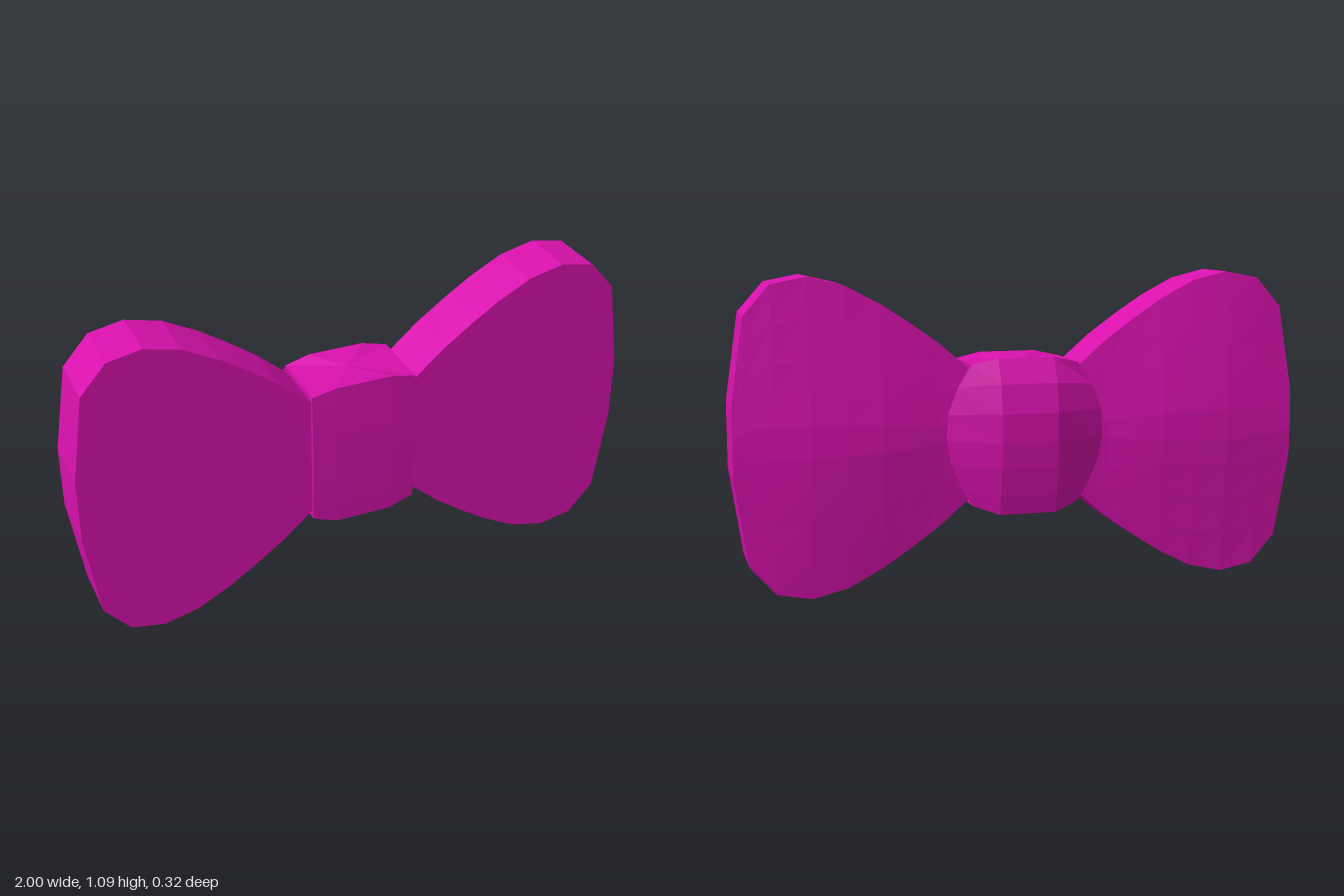
import * as THREE from 'three';

const material = new THREE.MeshStandardMaterial({ color: 0xd911ad, flatShading: true });
const MID_Y = 0.545;

// Skin a list of equal-length rings and close both ends with a fan.
function loft(rings) {
  const n = rings[0].length, last = rings.length - 1;
  const points = rings.flat(), index = [];
  for (let i = 0; i < last; i++) {
    for (let j = 0; j < n; j++) {
      const a = i * n + j, b = i * n + (j + 1) % n;
      index.push(a, a + n, b + n, a, b + n, b);
    }
  }
  for (const i of [0, last]) {
    const centre = new THREE.Vector3();
    rings[i].forEach(p => centre.addScaledVector(p, 1 / n));
    const c = points.push(centre) - 1;
    for (let j = 0; j < n; j++) {
      const a = i * n + j, b = i * n + (j + 1) % n;
      index.push(c, ...(i === 0 ? [a, b] : [b, a]));
    }
  }
  const geometry = new THREE.BufferGeometry().setFromPoints(points);
  geometry.setIndex(index);
  const flat = geometry.toNonIndexed();
  flat.computeVertexNormals();
  return flat;
}

// Wing: flat front, straight rim, gently swollen back.
function wingGeometry() {
  // x, half height, rim z, swollen back z
  const stations = [
    [0.10, 0.14, -0.07, -0.08], [0.19, 0.22, -0.07, -0.085], [0.30, 0.315, -0.07, -0.092],
    [0.405, 0.39, -0.07, -0.105], [0.50, 0.452, -0.07, -0.115], [0.62, 0.515, -0.07, -0.116],
    [0.745, 0.545, -0.07, -0.115], [0.865, 0.522, -0.07, -0.103], [0.955, 0.42, -0.07, -0.094],
    [1.0, 0.115, -0.086, -0.09],
  ];
  const steps = [1, 0.75, 0.5, 0.28, 0.1, -0.1, -0.28, -0.5, -0.75, -1];
  return loft(stations.map(([x, h, rim, back]) => [
    new THREE.Vector3(x, -h, 0.14),
    new THREE.Vector3(x, h, 0.14),
    ...steps.map(t => new THREE.Vector3(x, t * h, rim + (back - rim) * (1 - Math.abs(t) ** 1.2))),
  ]));
}

// Knot: a band with sloped top and bottom edges and a rounded bulge behind.
function knotGeometry() {
  // y, front z, bulge half width, bulge z
  const rows = [
    [0.265, 0.153, 0.19, -0.12], [0.33, 0.155, 0.225, -0.134], [0.43, 0.157, 0.265, -0.15],
    [0.52, 0.158, 0.28, -0.158], [0.62, 0.158, 0.275, -0.158], [0.72, 0.156, 0.24, -0.14],
    [0.805, 0.153, 0.19, -0.097],
  ];
  return loft(rows.map(([y, front, w, back]) => {
    const edgeY = 0.54 + (y - 0.535) * 0.907;
    const half = [[0.1, y, front], [0.19, edgeY, front - 0.003], [0.19, edgeY, -0.08],
      [w, edgeY, -0.09], [0.1, y, back]];
    const right = half.map(([px, py, pz]) => new THREE.Vector3(-px, py, pz));
    const left = half.map(p => new THREE.Vector3(...p)).reverse();
    return [...right, ...left];
  }));
}

export function createModel() {
  const model = new THREE.Group();
  model.name = 'bowTie';

  // The wing is symmetric top to bottom, so a half turn gives the other side.
  const geometry = wingGeometry();
  for (const [name, turn] of [['leftWing', 0], ['rightWing', Math.PI]]) {
    const wing = new THREE.Mesh(geometry, material);
    wing.name = name;
    wing.position.y = MID_Y;
    wing.rotation.z = turn;
    model.add(wing);
  }

  const knot = new THREE.Mesh(knotGeometry(), material);
  knot.name = 'knot';
  model.add(knot);
  return model;
}
